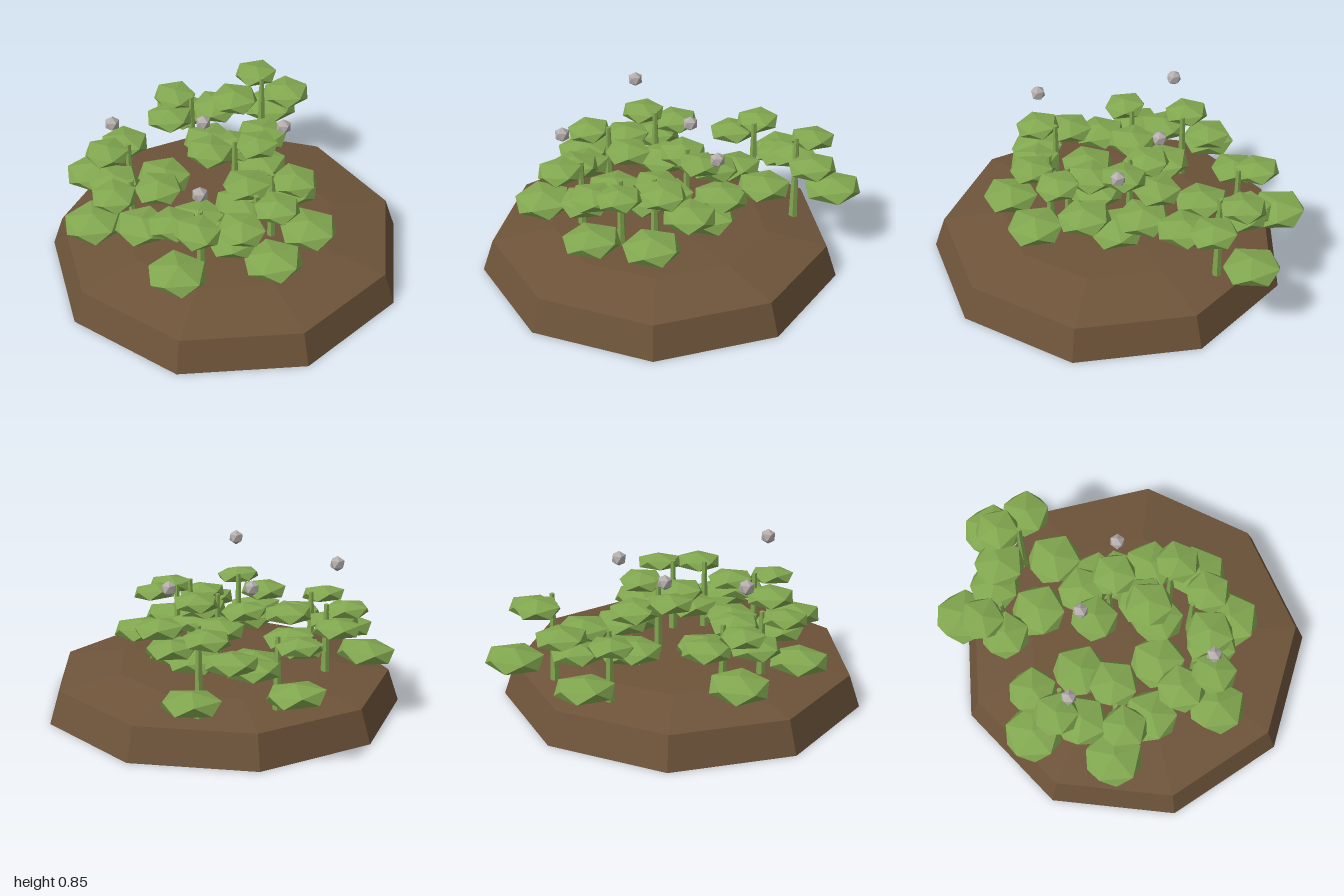
import * as THREE from 'three';

export function createModel() {
  const model = new THREE.Group();
  const mat = (name, color) => {
    const m = new THREE.MeshStandardMaterial({ color, flatShading: true });
    m.name = name;
    return m;
  };
  const soil = mat('soil brown', 0x6e543a);
  const leaf = mat('leaf green', 0x82a850);
  const stone = mat('pale grey', 0xb4aeac);

  const add = (parent, name, geo, material, x, y, z) => {
    const mesh = new THREE.Mesh(geo, material);
    mesh.name = name;
    mesh.position.set(x, y, z);
    parent.add(mesh);
    return mesh;
  };

  // Nine-sided mound with a bevelled rim and a shallow domed top
  const profile = [[0, 0], [0.99, 0], [0.93, 0.18], [0.59, 0.235], [0.2, 0.247], [0, 0.25]]
    .map(([r, y]) => new THREE.Vector2(r, y));
  add(model, 'mound', new THREE.LatheGeometry(profile, 9, Math.PI / 2), soil, -0.07, 0, 0);

  // Faceted ball standing on one point, used for foliage and floating balls
  const ball = new THREE.IcosahedronGeometry(1, 0);
  ball.rotateZ(Math.atan(2 / (1 + Math.sqrt(5))));

  // Trunk plus flattened pads that climb it, shrinking and closing in towards the top;
  // headings give each pad's direction from the trunk in degrees (0 = +x, 90 = +z)
  let treeCount = 0;
  function addTree(x, z, top, ...headings) {
    const i = treeCount++;
    const tree = new THREE.Group();
    tree.name = 'tree' + treeCount;
    model.add(tree);
    const h = top - 0.2;
    add(tree, 'trunk', new THREE.CylinderGeometry(0.014, 0.027, h, 6), leaf, x, 0.2 + h / 2, z);
    headings.forEach((heading, j) => {
      const t = j / (headings.length - 1);
      const a = THREE.MathUtils.degToRad(heading);
      const reach = THREE.MathUtils.lerp(0.22, 0.12, t);
      const r = THREE.MathUtils.lerp(0.172, 0.134, t);
      const y = THREE.MathUtils.lerp(0.36, top - 0.04, t);
      const pad = add(tree, 'foliagePad', ball, leaf, x + reach * Math.cos(a), y, z + reach * Math.sin(a));
      pad.scale.set(r, r * 0.35, r);
      // Slightly different turn and tilt for each pad
      pad.rotation.set(0.06 * Math.sin(i * 2 + j * 3), i * 1.3 + j * 2.1, 0.06 * Math.cos(i + j * 2));
    });
  }
  addTree(0.64, -0.26, 0.69, -20, 145, -104, 45, -51);
  addTree(0.36, -0.56, 0.60, -52, 114, 18, -156, -90);
  addTree(-0.22, -0.56, 0.61, -105, 65, 171, -48, -138);
  addTree(-0.45, -0.36, 0.59, -144, 126, 30, -171);
  addTree(-0.48, 0.12, 0.62, 177, -40, 70, -119, 151);
  addTree(-0.22, 0.29, 0.63, 121, -60, 176, 80);
  addTree(-0.04, 0.27, 0.65, 82, 0, -98, 55);
  addTree(0.07, -0.05, 0.67, 49, 9, 114, -32, -111, 45);

  // Small balls floating above the canopy
  [[-0.56, 0.81, 0.18], [-0.335, 0.81, -0.565], [0.05, 0.725, -0.245], [0.27, 0.725, 0.135]]
    .forEach(([x, y, z]) => add(model, 'floatingBall', ball, stone, x, y, z).scale.setScalar(0.043));

  return model;
}
